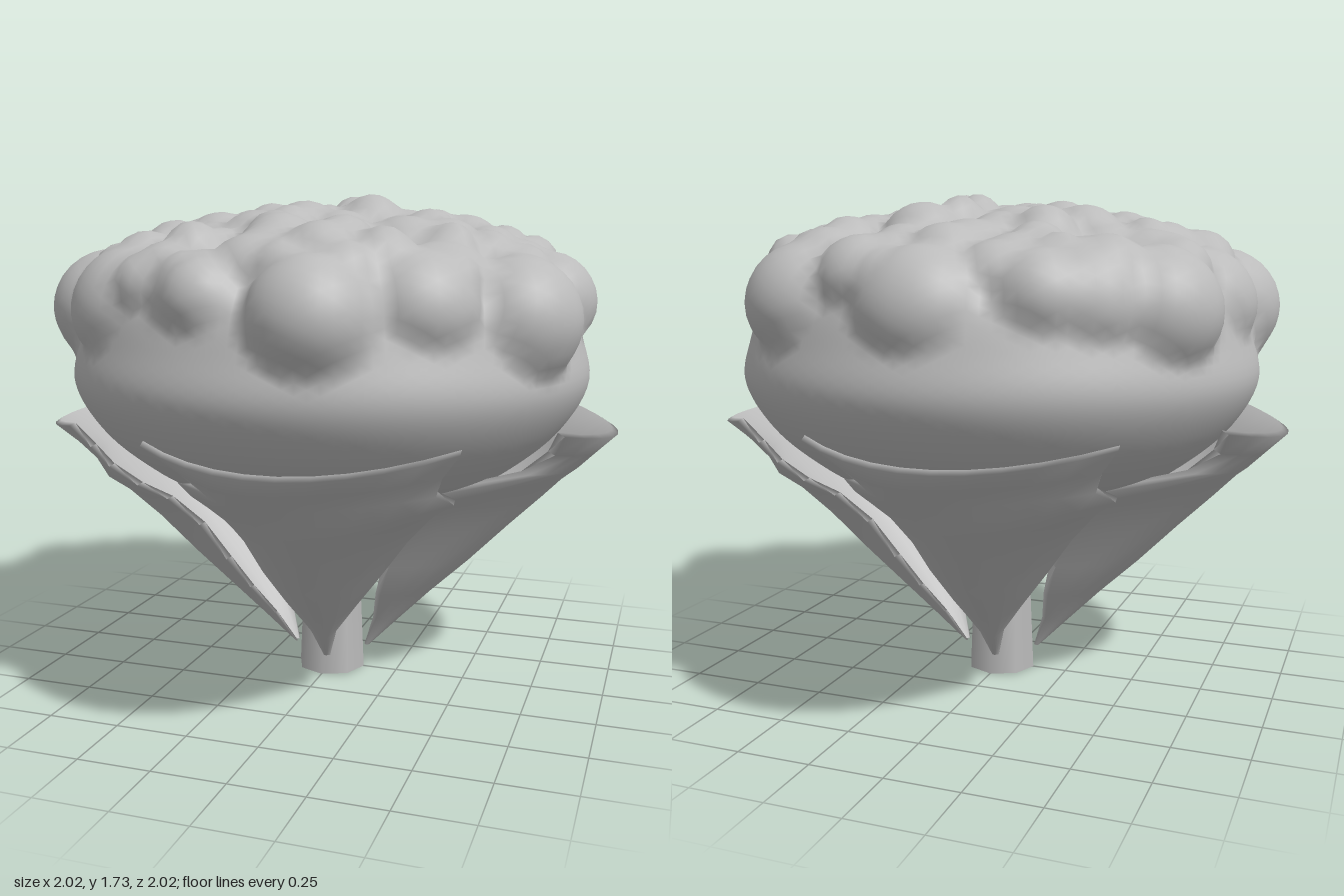
import * as THREE from 'three';
import { mergeVertices } from 'three/addons/utils/BufferGeometryUtils.js';

const grey = new THREE.MeshStandardMaterial({ color: 0xbbbbbb });
grey.name = 'plain grey';

// seeded random numbers in 0..1
function seeded(seed) {
  return () => {
    seed = (seed * 16807) % 2147483647;
    return seed / 2147483647;
  };
}

// squat head: smooth bowl below, knobs round the rim, small florets on top
function makeHead() {
  const curve = new THREE.CatmullRomCurve3([
    [0, 0.4], [0.15, 0.44], [0.3, 0.56], [0.46, 0.68], [0.66, 0.8], [0.82, 0.94], [0.905, 1.1],
    [0.88, 1.24], [0.83, 1.38], [0.72, 1.5], [0.45, 1.58], [0.2, 1.625], [0, 1.64],
  ].map(([r, y]) => new THREE.Vector3(r, y, 0)));

  // even ball of triangles, reshaped by the profile
  let geo = new THREE.IcosahedronGeometry(1, 26);
  geo.deleteAttribute('uv');
  geo.deleteAttribute('normal');
  geo = mergeVertices(geo, 1e-4);
  const pos = geo.attributes.position;
  const p = new THREE.Vector3(), n = new THREE.Vector3();
  for (let i = 0; i < pos.count; i++) {
    p.fromBufferAttribute(pos, i);
    const a = Math.atan2(p.x, p.z);
    const t = 1 - Math.acos(THREE.MathUtils.clamp(p.y, -1, 1)) / Math.PI;
    const q = curve.getPointAt(t);
    pos.setXYZ(i, q.x * Math.sin(a), q.y, q.x * Math.cos(a));
  }
  geo.computeVertexNormals();

  // bumps: centre, reach, height
  const bumps = [];
  const knobs = [ // x, z, y, reach, height
    [0.2, 0.83, 1.39, 0.2, 0.14], [0.77, 0.36, 1.36, 0.21, 0.14], [0.84, -0.1, 1.43, 0.18, 0.1],
    [0.7, -0.45, 1.46, 0.18, 0.07], [0.48, -0.7, 1.43, 0.21, 0.13], [-0.02, -0.82, 1.43, 0.2, 0.09],
    [-0.52, -0.6, 1.45, 0.19, 0.09], [-0.72, -0.44, 1.4, 0.21, 0.13], [-0.81, -0.05, 1.43, 0.18, 0.08],
    [-0.8, 0.28, 1.37, 0.21, 0.14], [-0.57, 0.58, 1.42, 0.21, 0.1], [-0.2, 0.77, 1.48, 0.17, 0.06],
    [0.51, 0.63, 1.44, 0.18, 0.09],
  ];
  for (const [x, z, y, reach, height] of knobs) {
    bumps.push({ c: new THREE.Vector3(x, y, z), reach, height });
  }
  const random = seeded(77);
  for (let i = 0; i < 95; i++) {
    const r = 0.82 * Math.sqrt((i + 0.5) / 95), a = i * 2.39996 + random() * 0.5;
    const y = 1.64 - 0.2 * Math.pow(r / 0.82, 2.6);
    bumps.push({
      c: new THREE.Vector3(r * Math.sin(a), y, r * Math.cos(a)),
      reach: 0.1 + random() * 0.05,
      height: 0.05 + random() * 0.05,
    });
  }

  const nor = geo.attributes.normal;
  for (let i = 0; i < pos.count; i++) {
    p.fromBufferAttribute(pos, i);
    n.fromBufferAttribute(nor, i);
    let push = 0;
    for (const b of bumps) {
      const q = p.distanceToSquared(b.c) / (b.reach * b.reach);
      if (q < 1) push = Math.max(push, b.height * Math.pow(1 - q, 0.8));
    }
    p.addScaledVector(n, push);
    pos.setXYZ(i, p.x, p.y, p.z);
  }
  geo.computeVertexNormals();
  return geo;
}

// leaf: each row gives left edge, middle and right edge as x, y, z
function makeLeaf() {
  const rows = [
    [[0.01, 0.08, 0.13], [0.02, 0.08, 0.14], [0.035, 0.08, 0.13]],
    [[-0.03, 0.2, 0.18], [0.04, 0.18, 0.24], [0.08, 0.2, 0.2]],
    [[-0.12, 0.32, 0.22], [0.05, 0.3, 0.36], [0.17, 0.32, 0.26]],
    [[-0.19, 0.45, 0.27], [0.06, 0.43, 0.5], [0.27, 0.45, 0.31]],
    [[-0.24, 0.6, 0.34], [0.08, 0.57, 0.64], [0.38, 0.6, 0.36]],
    [[-0.31, 0.71, 0.42], [0.1, 0.68, 0.755], [0.48, 0.71, 0.43]],
    [[-0.39, 0.77, 0.48], [0.11, 0.74, 0.815], [0.56, 0.77, 0.5]],
    [[-0.18, 0.81, 0.74], [0.12, 0.8, 0.875], [0.53, 0.82, 0.62]],
    [[-0.22, 0.89, 0.83], [0.14, 0.86, 0.935], [0.56, 0.89, 0.67]],
    [[-0.32, 0.97, 0.87], [0.16, 0.92, 1.0], [0.62, 0.97, 0.71]],
  ];
  const cols = 10, ring = 2 * (cols + 1), verts = [], index = [];
  const quad = (a, b, c, d) => index.push(a, b, c, a, c, d);
  rows.forEach(([a, b, c], j) => {
    const thick = 0.022 * Math.min(1, (j + 1) / 4);
    // outer skin from left to right, then inner skin back again
    for (let i = 0; i < ring; i++) {
      const inner = i > cols;
      const t = (inner ? ring - 1 - i : i) / cols;
      const wa = (1 - t) * (1 - 2 * t), wb = 4 * t * (1 - t), wc = t * (2 * t - 1);
      const [x, y, z] = [0, 1, 2].map(k => a[k] * wa + b[k] * wb + c[k] * wc);
      verts.push(x, inner ? y + thick * 0.6 : y, inner ? z - thick : z);
      const next = (i + 1) % ring, row = j * ring;
      if (j) quad(row - ring + i, row - ring + next, row + next, row + i);
    }
  });
  // close the top edge and the tip
  const top = (rows.length - 1) * ring;
  for (let i = 0; i < cols; i++) {
    const back = ring - 1 - i;
    quad(top + i, top + i + 1, top + back - 1, top + back);
    quad(back, back - 1, i + 1, i);
  }
  const geo = new THREE.BufferGeometry();
  geo.setAttribute('position', new THREE.Float32BufferAttribute(verts, 3));
  geo.setIndex(index);
  geo.computeVertexNormals();
  return geo;
}

export function createModel() {
  const model = new THREE.Group();
  const add = (name, geo) => {
    const mesh = new THREE.Mesh(geo, grey);
    mesh.name = name;
    model.add(mesh);
    return mesh;
  };

  add('head', makeHead());

  const stem = add('stem', new THREE.CylinderGeometry(0.105, 0.125, 0.46, 8));
  stem.position.y = 0.23;

  // four leaves, a quarter turn apart
  const leafGeo = makeLeaf();
  for (let i = 0; i < 4; i++) {
    add('leaf' + (i + 1), leafGeo).rotation.y = i * Math.PI / 2;
  }
  return model;
}
